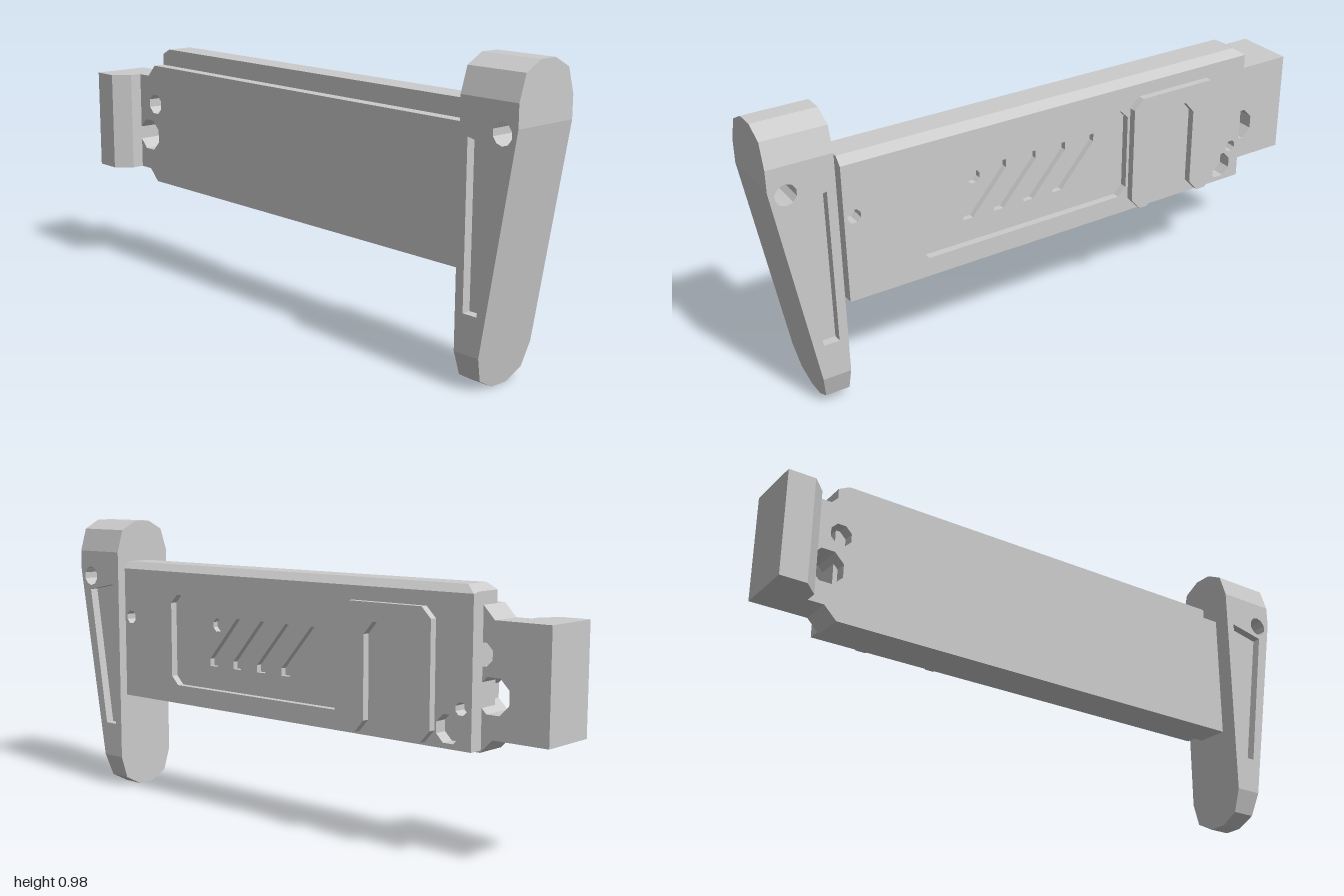
import * as THREE from 'three';

const material = new THREE.MeshStandardMaterial({ color: 0xcccccc, flatShading: true });

const toPoints = (list) => list.map(([a, b]) => new THREE.Vector2(a, b));

// Regular polygon used for bores (a = -z, b = y)
function ring(a, b, r, sides = 8) {
  return Array.from({ length: sides }, (_, i) => {
    const t = ((i + 0.5) / sides) * Math.PI * 2;
    return [a + r * Math.cos(t), b + r * Math.sin(t)];
  });
}

// Rectangle with cut corners
function cutRect(a0, a1, b0, b1, c) {
  return [[a0 + c, b0], [a1 - c, b0], [a1, b0 + c], [a1, b1 - c],
    [a1 - c, b1], [a0 + c, b1], [a0, b1 - c], [a0, b0 + c]];
}

// Side outline in (-z, y) extruded along x from x0 to x1
function slab(outline, x0, x1, holes = []) {
  const shape = new THREE.Shape(toPoints(outline));
  holes.forEach((h) => shape.holes.push(new THREE.Path(toPoints(h))));
  const g = new THREE.ExtrudeGeometry(shape, { depth: x1 - x0, bevelEnabled: false });
  g.rotateY(Math.PI / 2);
  g.translate(x0, 0, 0);
  return g;
}

function add(parent, name, geometry) {
  const mesh = new THREE.Mesh(geometry, material);
  mesh.name = name;
  parent.add(mesh);
  return mesh;
}

// Side profile of the butt pad between two heights, front tapering below y = 0.8
function padProfile(lo, hi) {
  const front = 0.865 + (0.135 * lo) / 0.8;
  return [[-0.79, lo], [-0.79, hi], [-1, hi], [-1, 0.8], [-front, lo]];
}

// Skin joining the pad profiles across x
function padSkin(sections) {
  const pos = [];
  const rows = sections.map(([x, lo, hi]) => padProfile(lo, hi).map(([a, b]) => [x, b, -a]));
  for (let i = 0; i < rows.length - 1; i++) {
    for (let j = 0; j < 5; j++) {
      const k = (j + 1) % 5;
      const [p, q, r, s] = [rows[i][j], rows[i][k], rows[i + 1][k], rows[i + 1][j]];
      pos.push(...p, ...q, ...r, ...p, ...r, ...s);
    }
  }
  const g = new THREE.BufferGeometry();
  g.setAttribute('position', new THREE.Float32BufferAttribute(pos, 3));
  g.computeVertexNormals();
  return g;
}

function buildButtPad() {
  const pad = new THREE.Group();
  pad.name = 'buttPad';
  const bore = ring(-0.945, 0.78, 0.035, 10);
  const pocket = [[-0.948, 0.73], [-0.872, 0.235], [-0.82, 0.235], [-0.82, 0.755]];
  const xs = [-0.107, -0.081, -0.021, 0.043, 0.104, 0.128];
  const lows = [0.112, 0.033, 0, 0, 0.033, 0.112];
  const highs = [0.872, 0.952, 0.984, 0.984, 0.952, 0.872];
  const skin = add(pad, 'padShell', padSkin(xs.map((x, i) => [x, lows[i], highs[i]])));
  skin.material = material.clone();
  skin.material.side = THREE.DoubleSide;
  // Core and pocketed cheeks, all pierced by the sling bore
  const side = padProfile(0.112, 0.872);
  add(pad, 'padCore', slab(side, -0.077, 0.098, [bore]));
  add(pad, 'rightCheek', slab(side, -0.107, -0.077, [bore, pocket]));
  add(pad, 'leftCheek', slab(side, 0.098, 0.128, [bore, pocket]));
  return pad;
}

function buildCover() {
  const cover = new THREE.Group();
  cover.name = 'cover';
  const outline = [[-0.768, 0.35], [0.768, 0.35], [0.768, 0.82], [0.73, 0.84], [-0.768, 0.84]];
  const bores = [ring(0.685, 0.41, 0.047), ring(0.73, 0.475, 0.021), ring(-0.735, 0.64, 0.024)];
  const panel = cutRect(-0.52, 0.27, 0.415, 0.735, 0.03);
  // Slanted vent slots on the panel floor
  const vents = [0, 1, 2, 3].map((i) => [[0, 0.495], [0.035, 0.495], [0.16, 0.64],
    [0.16, 0.668], [0.13, 0.668], [0, 0.52]].map(([a, b]) => [a - 0.35 + i * 0.113, b]));
  const dimple = ring(-0.31, 0.64, 0.024);
  add(cover, 'coverBase', slab(outline, -0.005, 0.07));
  add(cover, 'coverVentLayer', slab(outline, 0.07, 0.09, [...bores, ...vents, dimple]));
  // Outer layer with its top edge pulled down into a chamfer
  const face = slab(outline, 0.09, 0.115, [...bores, panel]);
  const p = face.attributes.position;
  for (let i = 0; i < p.count; i++) {
    if (p.getX(i) > 0.11 && p.getY(i) > 0.815) p.setY(i, 0.815);
  }
  face.computeVertexNormals();
  add(cover, 'coverFace', face);
  return cover;
}

export function createModel() {
  const model = new THREE.Group();
  model.name = 'stock';
  model.add(buildButtPad(), buildCover());

  // Long inner bar with its narrowed rear end
  const bar = [[-0.8, 0.342], [0.765, 0.342], [0.808, 0.385], [1, 0.385],
    [1, 0.738], [0.808, 0.738], [0.768, 0.78], [-0.8, 0.78]];
  add(model, 'innerBar', slab(bar, -0.046, 0.065,
    [ring(0.808, 0.515, 0.06), ring(0.768, 0.635, 0.038)]));

  // Hinge block standing out to the right at the rear
  const plan = new THREE.Shape(toPoints([[-0.046, 0.862], [-0.046, 1], [-0.141, 1],
    [-0.141, 0.91], [-0.088, 0.862]]));
  const block = new THREE.ExtrudeGeometry(plan, { depth: 0.353, bevelEnabled: false });
  block.rotateX(-Math.PI / 2);
  block.translate(0, 0.385, 0);
  add(model, 'hingeBlock', block);

  // Raised U-shaped latch
  const latch = [[0.28, 0.4], [0.315, 0.36], [0.345, 0.36], [0.38, 0.4], [0.38, 0.67],
    [0.415, 0.71], [0.495, 0.71], [0.53, 0.67], [0.53, 0.4], [0.565, 0.36], [0.6, 0.36],
    [0.635, 0.4], [0.635, 0.735], [0.6, 0.77], [0.315, 0.77], [0.28, 0.735]];
  add(model, 'latch', slab(latch, 0.11, 0.14));
  return model;
}
